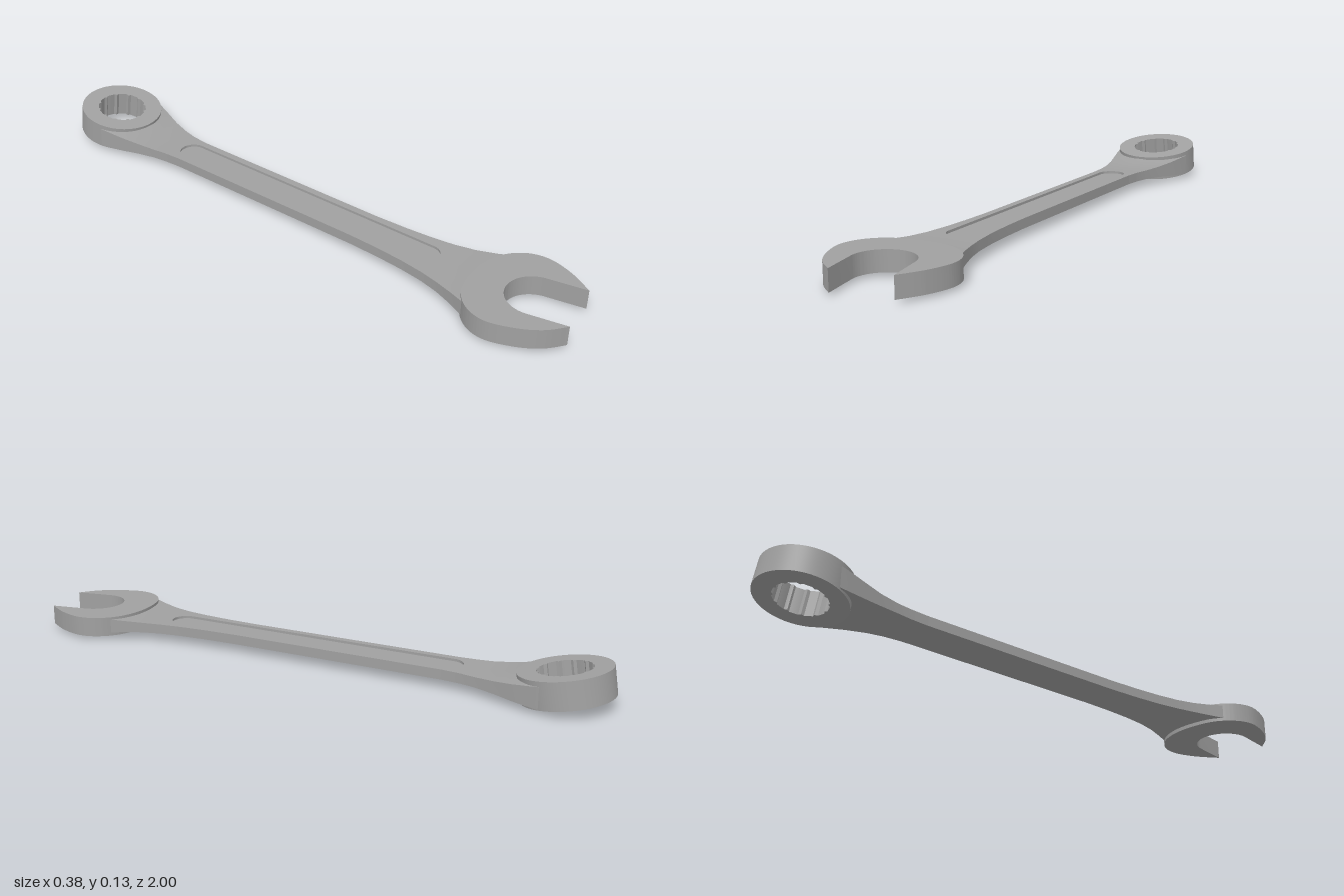
import * as THREE from 'three';
import { toCreasedNormals } from 'three/addons/utils/BufferGeometryUtils.js';

// Handle stations: z, half width, centre x, bottom y, top y, end bow in z
const STATIONS = [
  [-0.745, 0.138, 0.012, 0.020, 0.088, -0.070],
  [-0.72, 0.129, 0.011, 0.021, 0.082, -0.055],
  [-0.69, 0.116, 0.009, 0.023, 0.074, -0.036],
  [-0.65, 0.098, 0.006, 0.027, 0.066, -0.015],
  [-0.60, 0.083, 0.003, 0.030, 0.062, 0],
  [-0.55, 0.074, 0.001, 0.030, 0.062, 0],
  [-0.49, 0.069, 0, 0.030, 0.062, 0],
  [0.25, 0.069, 0, 0.030, 0.062, 0],
  [0.36, 0.073, 0, 0.030, 0.062, 0],
  [0.45, 0.080, 0, 0.030, 0.062, 0],
  [0.53, 0.091, 0, 0.030, 0.062, 0],
  [0.59, 0.106, 0, 0.029, 0.063, 0.005],
  [0.64, 0.126, 0, 0.026, 0.066, 0.016],
  [0.68, 0.147, 0, 0.022, 0.070, 0.030],
  [0.70, 0.158, 0, 0.020, 0.072, 0.038],
];
const GROOVE = { end: 0.53, r: 0.045, depth: 0.008 };

function stationAt(z) {
  let i = 0;
  while (i < STATIONS.length - 2 && z > STATIONS[i + 1][0]) i++;
  const a = STATIONS[i], b = STATIONS[i + 1];
  const t = (z - a[0]) / (b[0] - a[0]);
  return a.map((v, n) => v + (b[n] - v) * t);
}

// Half width of the round-ended groove at z
function grooveWidth(z) {
  const past = Math.abs(z) - (GROOVE.end - GROOVE.r);
  if (past <= 0) return GROOVE.r;
  return Math.sqrt(Math.max(0, GROOVE.r ** 2 - past ** 2));
}

// One closed cross-section, with the groove sunk into its top
function section(z) {
  const [, w, cx, yb, yt, bow] = stationAt(z);
  const g = grooveWidth(z) / w;
  const low = yt - GROOVE.depth;
  const pts = [];
  for (let i = -4; i <= 4; i++) pts.push([i / 4, yb]);
  pts.push([1, yt], [0.8, yt], [g, yt], [g, low], [-g, low], [-g, yt], [-0.8, yt], [-1, yt]);
  return pts.map(([s, y]) => [cx + s * w, y, z + bow * s * s]);
}

function handleGeometry() {
  const zs = STATIONS.map((s) => s[0]);
  for (let i = 0; i <= 10; i++) {
    const z = GROOVE.end - GROOVE.r + GROOVE.r * Math.sin((i / 10) * Math.PI / 2);
    zs.push(z, -z);
  }
  const rings = [...new Set(zs)].sort((a, b) => a - b).map(section);
  const pos = [];
  for (let i = 0; i < rings.length - 1; i++) {
    const n = rings[i].length;
    for (let j = 0; j < n; j++) {
      const k = (j + 1) % n;
      const a = rings[i][j], b = rings[i][k], c = rings[i + 1][k], d = rings[i + 1][j];
      pos.push(...a, ...b, ...c, ...a, ...c, ...d);
    }
  }
  const geo = new THREE.BufferGeometry();
  geo.setAttribute('position', new THREE.Float32BufferAttribute(pos, 3));
  return toCreasedNormals(geo, 0.5);
}

// Extrude an (x, z) shape into a slab centred on y = 0
function slab(shape, thickness, curveSegments) {
  const geo = new THREE.ExtrudeGeometry(shape, { depth: thickness, bevelEnabled: false, curveSegments });
  geo.translate(0, 0, -thickness / 2);
  geo.rotateX(Math.PI / 2);
  return toCreasedNormals(geo, 0.45);
}

function openJawGeometry() {
  const outer = [
    [-0.12, 0.953], [-0.163, 0.885], [-0.188, 0.80], [-0.165, 0.727], [-0.10, 0.675],
    [0.015, 0.655], [0.11, 0.676], [0.17, 0.73], [0.188, 0.80], [0.165, 0.885], [0.12, 0.965],
  ].map(([x, z]) => new THREE.Vector2(x, z));
  const shape = new THREE.Shape();
  shape.moveTo(-0.062, 1.0);
  shape.splineThru(outer);
  // Slanted U-shaped mouth
  const slant = -0.165;
  shape.lineTo(0.004 + 0.093 * Math.cos(slant), 0.86 + 0.093 * Math.sin(slant));
  shape.absarc(0.004, 0.86, 0.093, slant, slant - Math.PI, true);
  shape.closePath();
  return slab(shape, 0.065, 32);
}

function boxEndGeometry() {
  const shape = new THREE.Shape();
  shape.absarc(0, 0, 0.141, 0, Math.PI * 2, false);
  // Twelve wide flats parted by small ridges
  const hole = new THREE.Path();
  const profile = [[0, 0.078], [0.1, 0.084], [0.42, 0.084]];
  const pts = [];
  for (let i = 0; i < 12; i++) {
    for (const [da, r] of profile) {
      const a = (i * Math.PI) / 6 + da;
      pts.push(new THREE.Vector2(Math.cos(a) * r, Math.sin(a) * r));
    }
  }
  hole.setFromPoints(pts);
  hole.closePath();
  shape.holes.push(hole);
  return slab(shape, 0.087, 40);
}

export function createModel() {
  const group = new THREE.Group();
  group.name = 'wrench';
  const steel = new THREE.MeshStandardMaterial({ color: 0xa0a0a0 });
  steel.name = 'steel';

  const add = (name, geometry) => {
    const mesh = new THREE.Mesh(geometry, steel);
    mesh.name = name;
    group.add(mesh);
    return mesh;
  };

  add('handle', handleGeometry());
  add('openJaw', openJawGeometry()).position.y = 0.0445;

  // Ring end tilts up toward the back
  const ring = add('boxEnd', boxEndGeometry());
  ring.position.set(0.012, 0.0665, -0.855);
  ring.rotation.x = 0.16;

  return group;
}
